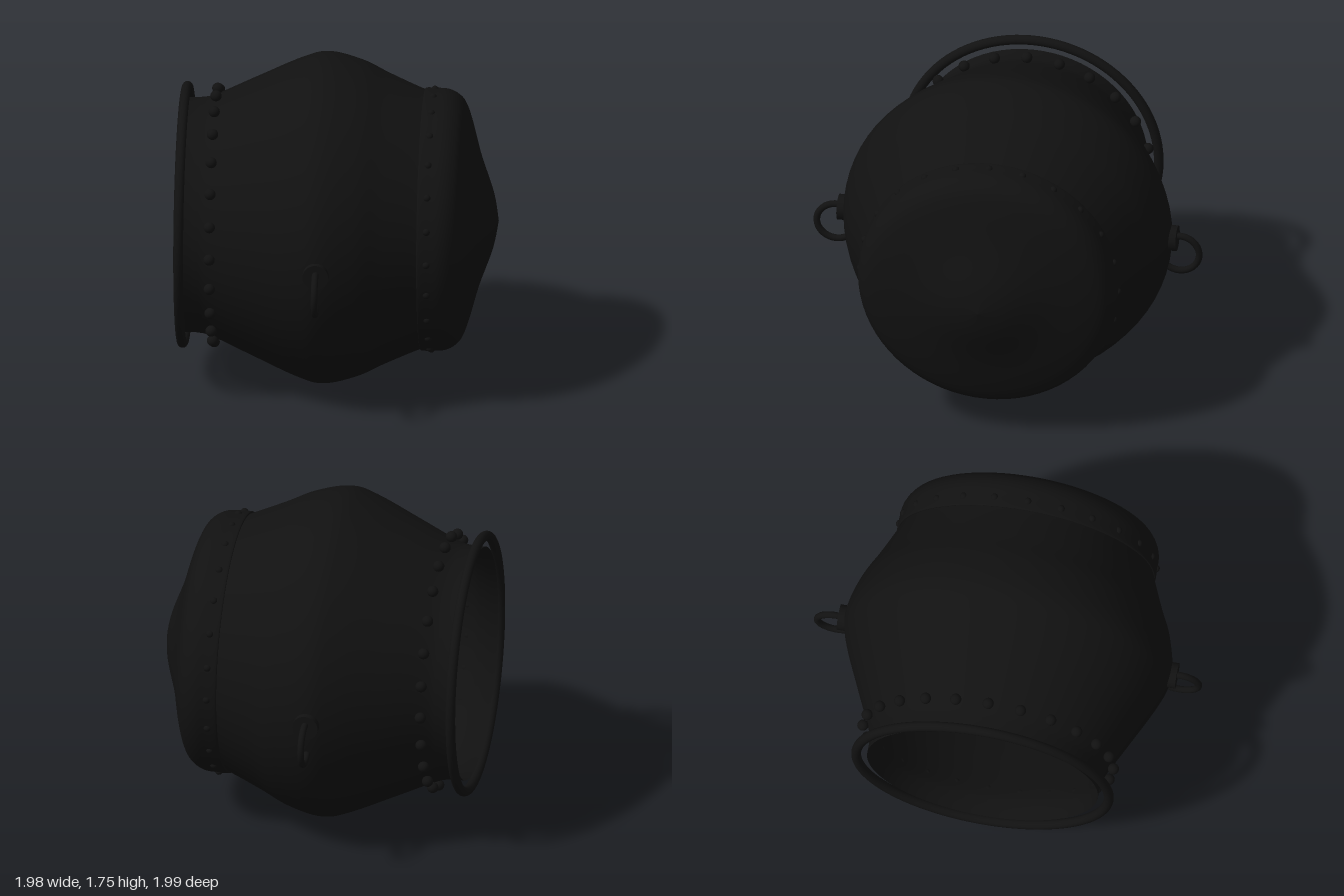
import * as THREE from 'three';

const iron = new THREE.MeshStandardMaterial({ color: 0x111111, side: THREE.DoubleSide });

function add(parent, name, geometry) {
  const mesh = new THREE.Mesh(geometry, iron);
  mesh.name = name;
  parent.add(mesh);
  return mesh;
}

// Smooth profile of [position along the axis, radius] spun around the axis
function spun(profile) {
  const curve = new THREE.SplineCurve(profile.map(([s, r]) => new THREE.Vector2(r, s)));
  const pts = curve.getPoints(profile.length * 6);
  pts.forEach(p => { p.x = Math.max(p.x, 0); });
  return new THREE.LatheGeometry(pts, 72);
}

// Ring of round rivet heads
function rivetRing(parent, name, s, ringRadius, size) {
  const ring = new THREE.Group();
  ring.name = name;
  const count = 24;
  for (let i = 0; i < count; i++) {
    const a = (i / count) * Math.PI * 2;
    add(ring, 'rivet', new THREE.SphereGeometry(size, 14, 10))
      .position.set(Math.cos(a) * ringRadius, s, Math.sin(a) * ringRadius);
  }
  parent.add(ring);
}

export function createModel() {
  const model = new THREE.Group();
  model.name = 'cauldron';

  // Local +y runs from mouth to base, local +z points down
  const pot = new THREE.Group();
  pot.name = 'tippedPot';
  const axis = new THREE.Vector3(0.65, 0, 0.76).normalize();
  const side = new THREE.Vector3(axis.z, 0, -axis.x);
  pot.quaternion.setFromRotationMatrix(
    new THREE.Matrix4().makeBasis(side, axis, new THREE.Vector3(0, -1, 0)));
  pot.position.y = 0.88;
  model.add(pot);

  // Open bulging body, closed beneath the base cap
  add(pot, 'body', spun([
    [-0.7, 0.62], [-0.62, 0.622], [-0.54, 0.642], [-0.33, 0.738], [-0.09, 0.845], [0.05, 0.877],
    [0.226, 0.835], [0.374, 0.765], [0.564, 0.683], [0.68, 0.65], [0.75, 0.55], [0.84, 0.3], [0.92, 0]]));

  // Riveted base cap with a shallow dome
  add(pot, 'baseCap', spun([
    [0.56, 0.68], [0.563, 0.694], [0.62, 0.694], [0.68, 0.69], [0.73, 0.668], [0.77, 0.625],
    [0.805, 0.534], [0.857, 0.35], [0.928, 0.15], [0.957, 0]]));

  // Ring around the mouth
  const rim = add(pot, 'rimRing', new THREE.TorusGeometry(0.678, 0.026, 16, 96));
  rim.rotation.x = Math.PI / 2;
  rim.position.y = -0.7;

  rivetRing(pot, 'mouthRivets', -0.537, 0.672, 0.03);
  rivetRing(pot, 'baseRivets', 0.61, 0.688, 0.02);

  // Side handles: round mounting plate and a hanging ring let into the wall
  const arc = THREE.MathUtils.degToRad(256);
  for (const dir of [1, -1]) {
    const handle = new THREE.Group();
    handle.name = dir > 0 ? 'leftHandle' : 'rightHandle';
    const plate = add(handle, 'handlePlate', new THREE.CylinderGeometry(0.068, 0.068, 0.07, 32));
    plate.rotation.z = Math.PI / 2;
    plate.position.set(dir * 0.873, 0.037, 0);
    const loop = new THREE.TorusGeometry(0.106, 0.018, 12, 48, arc);
    loop.rotateZ(-arc / 2 + (dir > 0 ? 0 : Math.PI)).rotateX(Math.PI / 2);
    add(handle, 'handleRing', loop).position.set(dir * 0.918, 0.037, 0.09);
    pot.add(handle);
  }
  return model;
}
